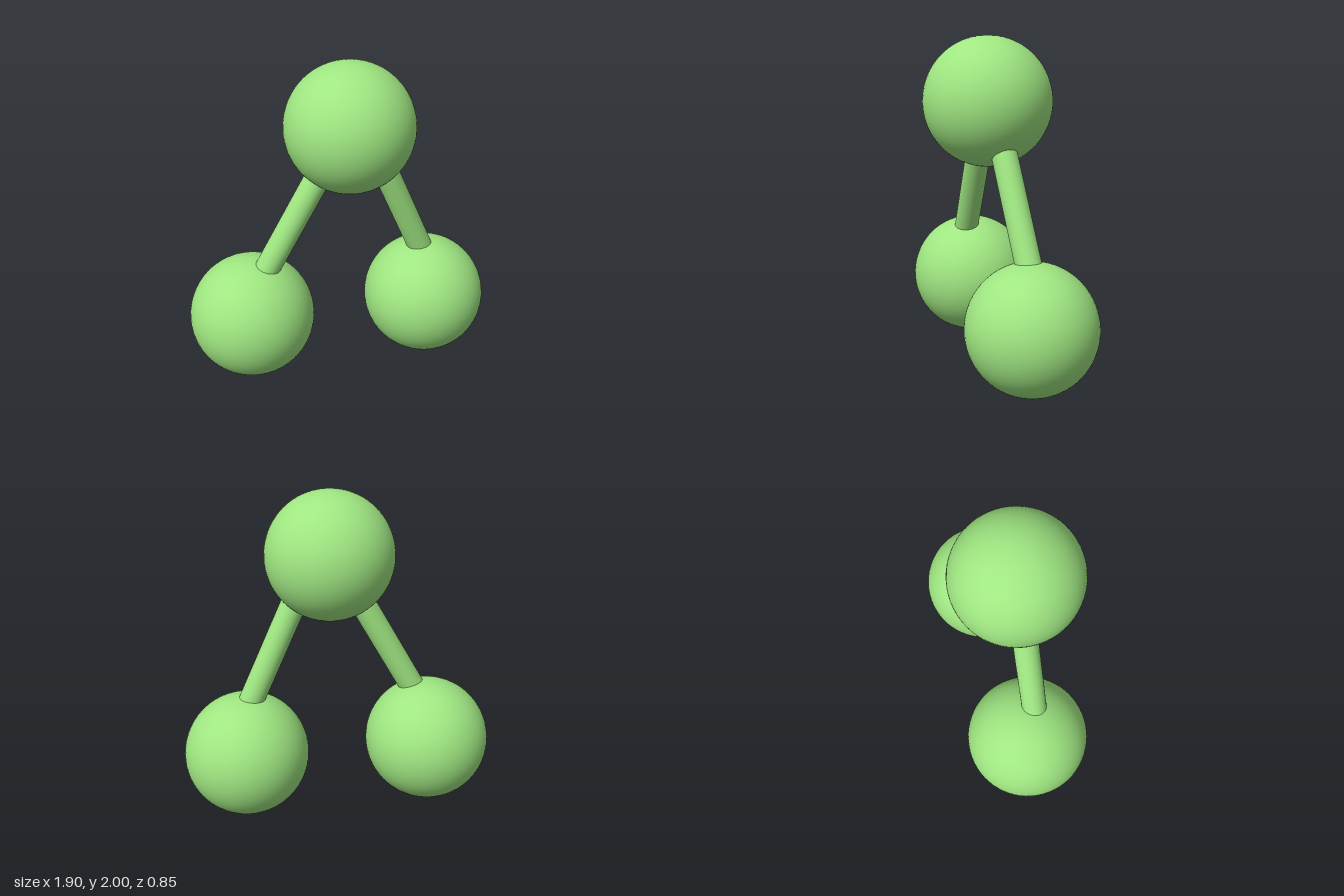
import * as THREE from 'three';

const SPHERE_RADIUS = 0.383;
const ROD_RADIUS = 0.076;

export function createModel() {
  const model = new THREE.Group();
  model.name = 'ballAndRodModel';
  const green = new THREE.MeshStandardMaterial({ color: 0x9fe681 });

  function addBall(name, x, y, z) {
    const ball = new THREE.Mesh(new THREE.SphereGeometry(SPHERE_RADIUS, 64, 40), green);
    ball.name = name;
    ball.position.set(x, y, z);
    model.add(ball);
  }

  // Straight rod between two points, its ends sunk inside the balls
  function addRod(name, from, to) {
    const a = new THREE.Vector3(...from);
    const b = new THREE.Vector3(...to);
    const axis = b.clone().sub(a);
    const rod = new THREE.Mesh(
      new THREE.CylinderGeometry(ROD_RADIUS, ROD_RADIUS, axis.length(), 40), green);
    rod.name = name;
    rod.position.copy(a).add(b).multiplyScalar(0.5);
    rod.quaternion.setFromUnitVectors(new THREE.Vector3(0, 1, 0), axis.normalize());
    model.add(rod);
  }

  // Balls: one on top, two at the base
  addBall('topBall', 0.035, 1.617, 0.042);
  addBall('leftBall', 0.565, 0.383, -0.042);
  addBall('rightBall', -0.566, 0.416, -0.042);

  // Rods run slightly outside the lines between the ball centres
  addRod('leftRod', [0.611, 0.55, -0.05], [0.133, 1.6, 0.038]);
  addRod('rightRod', [-0.59, 0.55, 0.016], [0, 1.6, 0.04]);

  return model;
}
